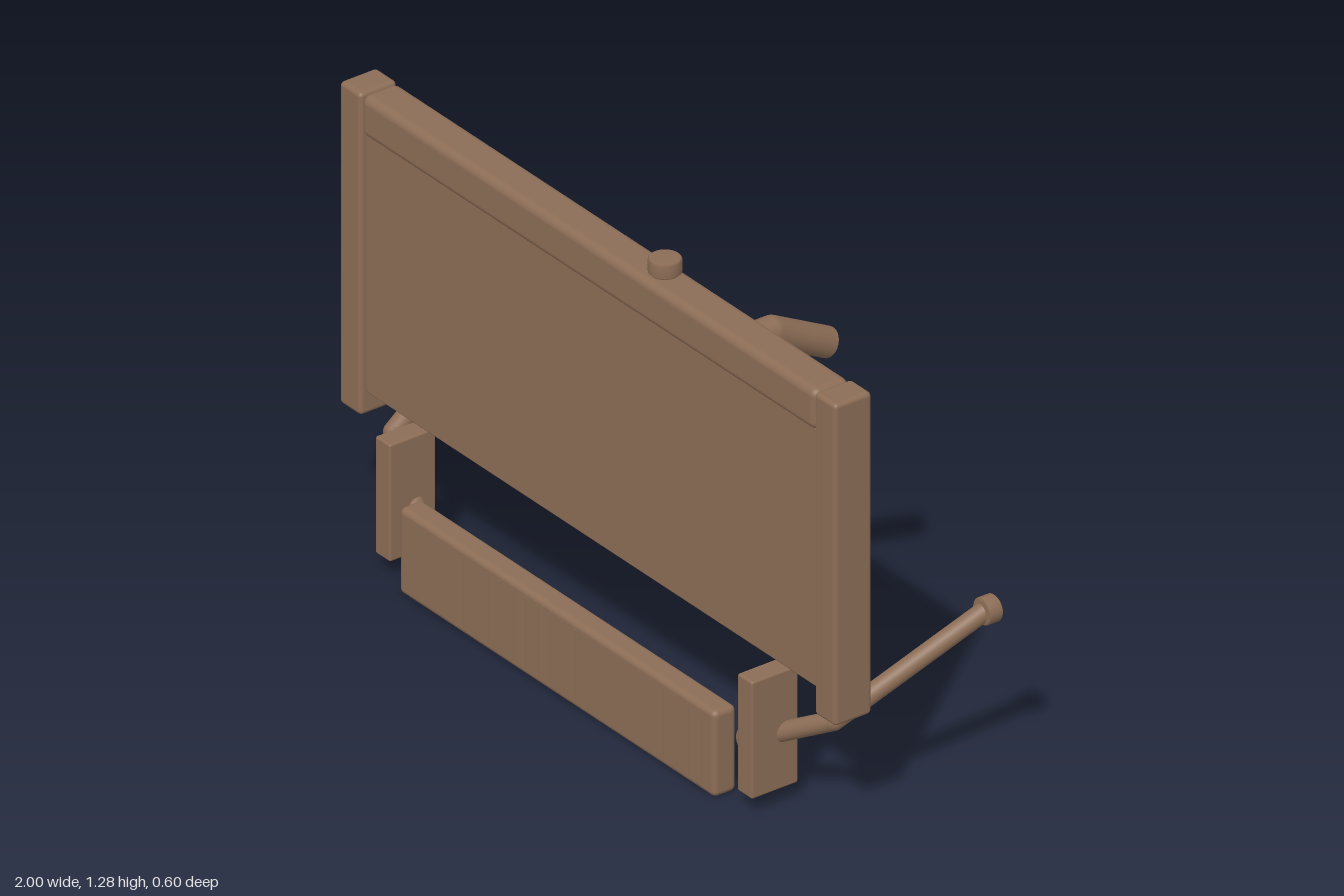
import * as THREE from 'three';
import { RoundedBoxGeometry } from 'three/addons/geometries/RoundedBoxGeometry.js';

export function createModel() {
  const model = new THREE.Group();
  model.name = 'radiator';
  const brown = new THREE.MeshStandardMaterial({ color: 0x8c6d56 });
  brown.name = 'brown';

  function add(name, geometry, parent = model) {
    const mesh = new THREE.Mesh(geometry, brown);
    mesh.name = name;
    parent.add(mesh);
    return mesh;
  }

  // Rounded box given by its lower and upper limits on each axis
  function block(name, [x0, x1], [y0, y1], [z0, z1], radius) {
    const mesh = add(name, new RoundedBoxGeometry(x1 - x0, y1 - y0, z1 - z0, 3, radius));
    mesh.position.set((x0 + x1) / 2, (y0 + y1) / 2, (z0 + z1) / 2);
    return mesh;
  }

  // Round pipe along straight runs, with a ball filling each bend
  function pipe(name, points, radius) {
    const group = new THREE.Group();
    group.name = name;
    const pts = points.map((p) => new THREE.Vector3(...p));
    for (let i = 0; i < pts.length - 1; i++) {
      const dir = pts[i + 1].clone().sub(pts[i]);
      const run = add(name + 'Run', new THREE.CylinderGeometry(radius, radius, dir.length(), 24), group);
      run.position.copy(pts[i]).addScaledVector(dir, 0.5);
      run.quaternion.setFromUnitVectors(new THREE.Vector3(0, 1, 0), dir.normalize());
      if (i > 0) add(name + 'Bend', new THREE.SphereGeometry(radius, 24, 16), group).position.copy(pts[i]);
    }
    model.add(group);
  }

  // Short round disc with softened rims, facing along y
  function disc(name, radius, height) {
    const h = height / 2, b = 0.004;
    const profile = [[0, -h], [radius - b, -h], [radius, -h + b], [radius, h - b], [radius - b, h], [0, h]];
    const geometry = new THREE.LatheGeometry(profile.map(([x, y]) => new THREE.Vector2(x, y)), 28);
    return add(name, geometry);
  }

  // Main core, top tank and filler cap
  block('core', [-0.903, 0.903], [0.4, 1.125], [0.108, 0.192], 0.006);
  block('topTank', [-0.907, 0.907], [1.12, 1.235], [0.095, 0.205], 0.022);
  disc('fillerCap', 0.042, 0.042).position.set(0.24, 1.267, 0.152);

  // Lower cooler with fine fins on its front and back
  block('lowerCooler', [-0.63, 0.63], [0.003, 0.243], [0.23, 0.3], 0.016);
  for (let i = 0; i < 24; i++) {
    const fin = add('coolerFin', new THREE.BoxGeometry(0.008, 0.2, 0.072));
    fin.position.set(-0.575 + i * 0.05, 0.123, 0.265);
  }

  // Rear pipes
  pipe('upperPipe', [[0.36, 1.055, 0.12], [0.36, 1.055, -0.08], [0.36, 0.965, -0.25]], 0.04);
  pipe('lowerPipe', [[-0.365, 0.425, 0.12], [-0.365, 0.425, -0.08], [-0.365, 0.487, -0.254]], 0.04);

  // End posts, brackets and hoses on both sides
  for (const s of [-1, 1]) {
    const span = (a, b) => (s > 0 ? [a, b] : [-b, -a]);
    block('endPost', span(0.905, 0.99), [0.335, 1.235], [0.093, 0.206], 0.012);
    block('bracket', span(0.693, 0.752), [0.05, 0.377], [0.137, 0.278], 0.006);
    pipe('hose', [[s * 0.665, 0.16, 0.21], [s * 0.88, 0.277, 0.125], [s * 0.962, 0.483, -0.27]], 0.025);
    const inner = disc('innerFitting', 0.035, 0.04);
    inner.rotation.x = Math.PI / 2;
    inner.position.set(s * 0.663, 0.157, 0.215);
    const outer = disc('outerFitting', 0.036, 0.042);
    outer.rotation.x = Math.PI / 2;
    outer.position.set(s * 0.964, 0.485, -0.279);
  }
  return model;
}
